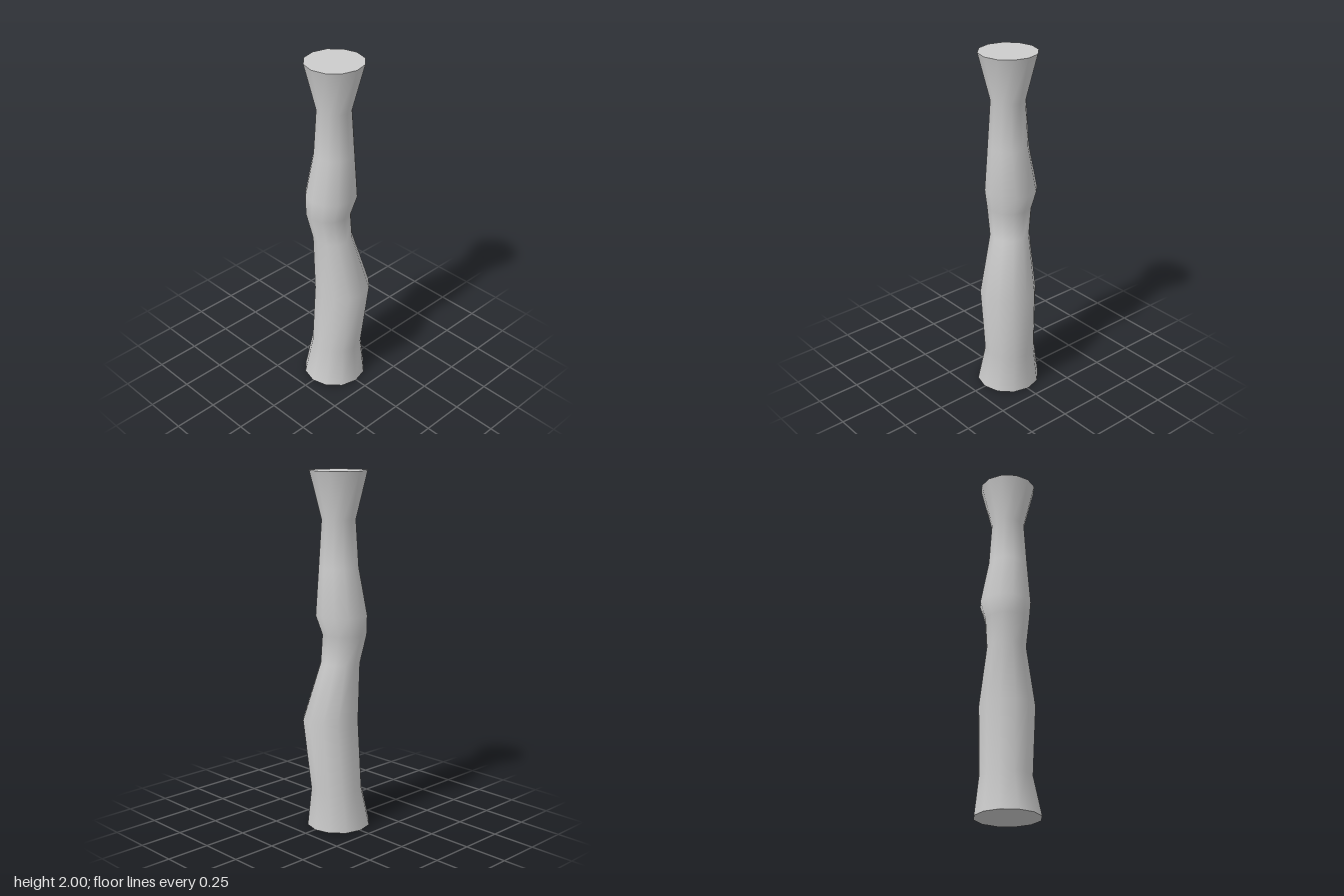
import * as THREE from 'three';
import { mergeVertices } from 'three/addons/utils/BufferGeometryUtils.js';

const SIDES = 12;

// Rings from bottom to top: height, centre x, centre z, radius
const RINGS = [
  [0.00, -0.004, 0.004, 0.181],
  [0.22, -0.003, -0.011, 0.146],
  [0.62, 0.025, -0.029, 0.159],
  [0.95, -0.017, 0.006, 0.112],
  [1.11, -0.031, 0.025, 0.126],
  [1.22, -0.026, 0.006, 0.146],
  [1.48, -0.005, 0.005, 0.113],
  [1.74, -0.005, 0.005, 0.096],
  [2.00, -0.004, 0.004, 0.161],
];

export function createModel() {
  const group = new THREE.Group();
  group.name = 'column';
  const material = new THREE.MeshStandardMaterial({ color: 0xcccccc });
  const last = RINGS.length - 1;

  // Shaft: a unit open cylinder whose rows are moved onto the rings
  let shaft = new THREE.CylinderGeometry(1, 1, last, SIDES, last, true);
  const pos = shaft.attributes.position;
  for (let i = 0; i < pos.count; i++) {
    const [y, cx, cz, r] = RINGS[Math.round(pos.getY(i) + last / 2)];
    pos.setXYZ(i, cx + r * pos.getX(i), y, cz + r * pos.getZ(i));
  }
  // Weld the seam so the shading runs smoothly all round
  shaft.deleteAttribute('uv');
  shaft.deleteAttribute('normal');
  shaft = mergeVertices(shaft, 1e-4);
  shaft.computeVertexNormals();
  const shaftMesh = new THREE.Mesh(shaft, material);
  shaftMesh.name = 'shaft';
  group.add(shaftMesh);

  // Flat end caps
  const addCap = (name, [y, cx, cz, r], tilt) => {
    const cap = new THREE.Mesh(new THREE.CircleGeometry(r, SIDES), material);
    cap.name = name;
    cap.rotation.x = tilt;
    cap.position.set(cx, y, cz);
    group.add(cap);
  };
  addCap('topCap', RINGS[last], -Math.PI / 2);
  addCap('bottomCap', RINGS[0], Math.PI / 2);

  return group;
}
